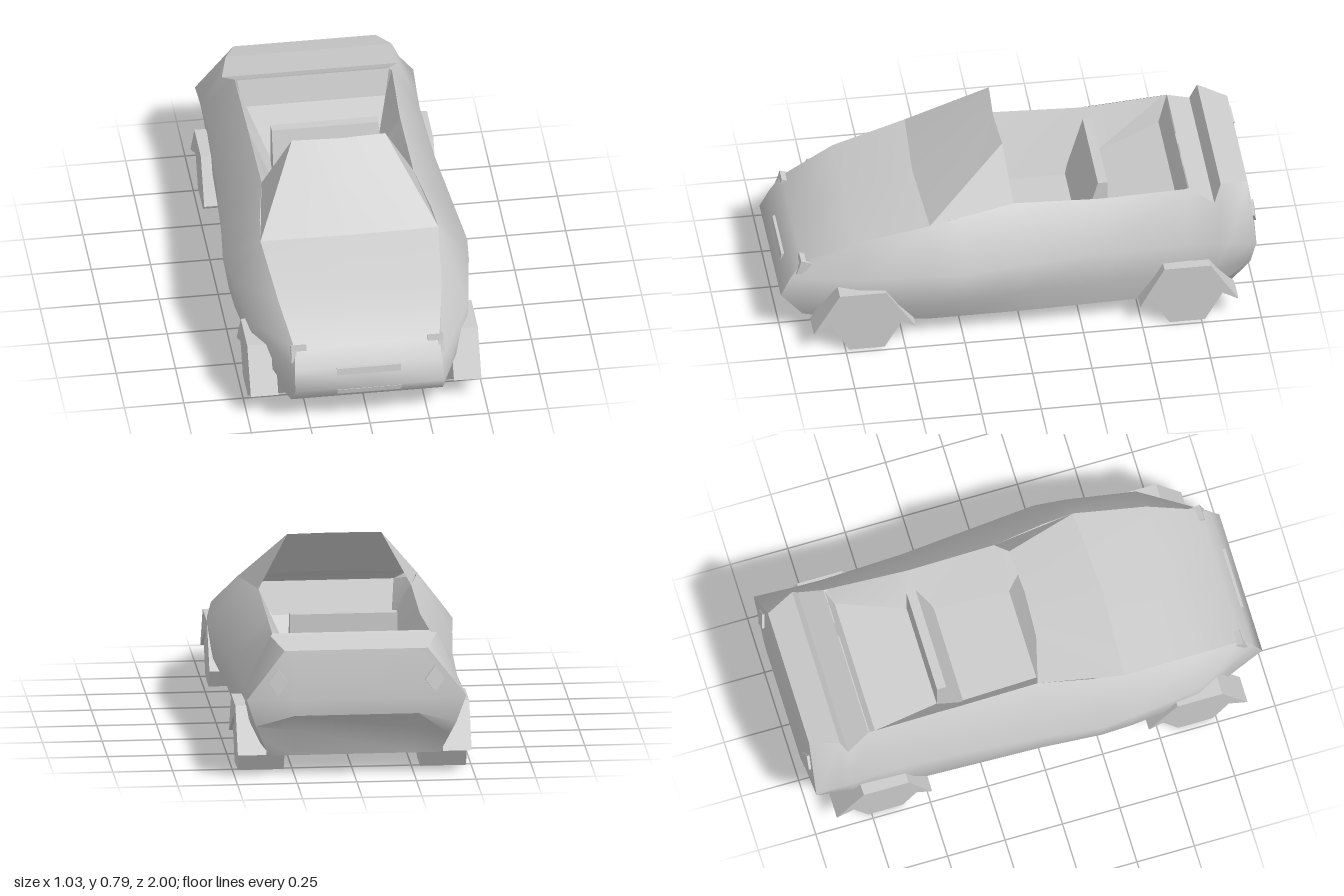
import * as THREE from 'three';
import { toCreasedNormals } from 'three/addons/utils/BufferGeometryUtils.js';

const material = new THREE.MeshStandardMaterial({ color: 0xcccccc, side: THREE.DoubleSide });

// full row across the car from a half row listed outer to inner
const across = half => [...half.map(([x, y, z]) => [-x, y, z]), ...[...half].reverse()];

// surface through successive rows of points
function sheet(name, halves, crease) {
  const rows = halves.map(across), pos = [];
  for (let i = 0; i < rows.length - 1; i++) {
    for (let j = 0; j < rows[i].length - 1; j++) {
      const a = rows[i][j], b = rows[i][j + 1], c = rows[i + 1][j + 1], d = rows[i + 1][j];
      pos.push(...a, ...d, ...c, ...a, ...c, ...b);
    }
  }
  const g = new THREE.BufferGeometry();
  g.setAttribute('position', new THREE.Float32BufferAttribute(pos, 3));
  return named(name, toCreasedNormals(g, crease));
}

function named(name, geometry) {
  const m = new THREE.Mesh(geometry, material);
  m.name = name;
  return m;
}

// side profile of (z, y) points, extruded across x and centred on x
function profile(name, points, width, x = 0) {
  const shape = new THREE.Shape(points.map(([z, y]) => new THREE.Vector2(z, y)));
  const g = new THREE.ExtrudeGeometry(shape, { depth: width, bevelEnabled: false });
  g.translate(0, 0, -width / 2).rotateY(-Math.PI / 2).translate(x, 0, 0);
  return named(name, g);
}

export function createModel() {
  const car = new THREE.Group();
  car.name = 'convertibleCar';

  // sides and floor pan: shoulder, waist, sill, bottom at each station
  car.add(sheet('bodySides', [
    [[0.305, 0.345, 0.91], [0.31, 0.27, 0.96], [0.315, 0.19, 1], [0.32, 0.09, 0.91]],
    [[0.345, 0.45, 0.69], [0.46, 0.34, 0.68], [0.45, 0.2, 0.68], [0.4, 0.09, 0.68]],
    [[0.375, 0.53, 0.38], [0.503, 0.36, 0.38], [0.485, 0.21, 0.38], [0.43, 0.09, 0.38]],
    [[0.36, 0.548, 0.25], [0.515, 0.36, 0.25], [0.49, 0.21, 0.25], [0.43, 0.09, 0.25]],
    [[0.32, 0.57, 0.02], [0.49, 0.37, 0], [0.475, 0.22, 0], [0.43, 0.09, 0]],
    [[0.32, 0.555, -0.35], [0.46, 0.37, -0.35], [0.455, 0.22, -0.35], [0.42, 0.09, -0.35]],
    [[0.33, 0.575, -0.72], [0.447, 0.37, -0.7], [0.44, 0.22, -0.7], [0.41, 0.09, -0.7]],
    [[0.37, 0.52, -0.82], [0.453, 0.36, -0.83], [0.435, 0.22, -0.81], [0.39, 0.09, -0.8]],
    [[0.35, 0.6, -0.85], [0.455, 0.36, -0.87], [0.43, 0.22, -0.84], [0.38, 0.09, -0.82]],
    [[0.3, 0.565, -0.97], [0.46, 0.36, -0.985], [0.42, 0.24, -0.965], [0.36, 0.09, -0.88]],
  ], 1.1));

  // bonnet running down over the nose
  car.add(sheet('bonnetAndNose', [
    [[0.375, 0.53, 0.38], [0, 0.54, 0.4]],
    [[0.345, 0.45, 0.69], [0, 0.455, 0.69]],
    [[0.305, 0.345, 0.91], [0, 0.345, 0.91]],
    [[0.31, 0.27, 0.96], [0, 0.27, 0.96]],
    [[0.315, 0.19, 1], [0, 0.19, 1]],
    [[0.32, 0.09, 0.91], [0, 0.09, 0.91]],
  ], 1.35));

  // bumper, undercut, tail panel, spoiler and rear deck
  car.add(sheet('tailAndDeck', [
    [[0.36, 0.09, -0.88], [0.25, 0.09, -0.88]],
    [[0.396, 0.18, -0.931], [0.26, 0.21, -0.925]],
    [[0.42, 0.24, -0.965], [0.26, 0.29, -0.995]],
    [[0.46, 0.36, -0.985], [0.27, 0.36, -1]],
    [[0.3, 0.565, -0.97], [0.25, 0.565, -0.97]],
    [[0.35, 0.6, -0.85], [0.25, 0.6, -0.85]],
    [[0.37, 0.52, -0.82], [0.25, 0.52, -0.82]],
    [[0.33, 0.575, -0.72], [0.25, 0.575, -0.72]],
  ], 0.5));

  // cockpit tub: lip and floor edge, back to front, ending in a dash under the bonnet
  car.add(sheet('cockpitTub', [
    [[0.33, 0.575, -0.72], [0.32, 0.573, -0.715]],
    [[0.33, 0.572, -0.7], [0.3, 0.46, -0.68]],
    [[0.32, 0.557, -0.4], [0.22, 0.38, -0.39]],
    [[0.32, 0.555, -0.35], [0.21, 0.3, -0.28]],
    [[0.32, 0.57, 0.02], [0.2, 0.3, 0.05]],
    [[0.36, 0.548, 0.25], [0.25, 0.42, 0.15]],
    [[0.35, 0.465, 0.62], [0.3, 0.44, 0.62]],
  ], 0.3));

  // windscreen with its triangular side panes
  car.add(sheet('windscreen', [
    [[0.32, 0.57, 0.02], [0.197, 0.795, 0.05], [0, 0.795, 0.06]],
    [[0.375, 0.53, 0.38], [0.375, 0.53, 0.38], [0, 0.54, 0.4]],
  ], 0.5));

  car.add(profile('seat', [[-0.27, 0.29], [-0.35, 0.565], [-0.39, 0.565], [-0.39, 0.29]], 0.45));

  // number plate and bumper bar, wedges standing out of the nose
  car.add(profile('frontPlate', [[0.95, 0.27], [0.972, 0.27], [0.976, 0.24], [0.95, 0.24]], 0.27));
  car.add(profile('bumperBar', [[0.96, 0.175], [0.989, 0.175], [0.985, 0.153], [0.94, 0.153]], 0.27));

  for (const s of [-1, 1]) {
    for (const [end, z, archFront, archBack, archWidth] of [
      ['front', 0.66, 0.885, 0.455, 0.116], ['rear', -0.69, -0.49, -0.905, 0.12],
    ]) {
      // six-sided wheel standing on a flat
      const tyre = new THREE.CylinderGeometry(0.15, 0.15, 0.192, 6).toNonIndexed().rotateZ(Math.PI / 2);
      tyre.computeVertexNormals();
      const wheel = named(end + 'Wheel', tyre);
      wheel.position.set(s * 0.382, 0.13, z);
      car.add(wheel);
      // chevron wheel arch
      const mid = (archFront + archBack) / 2;
      car.add(profile(end + 'WheelArch', [
        [archFront, 0.1], [mid + 0.105, 0.285], [mid - 0.09, 0.285], [archBack, 0.1], [mid, 0.22],
      ], archWidth, s * (0.37 + archWidth / 2)));
    }

    // headlamp: top lid with a small cheek below
    car.add(profile('headlamp', [[0.87, 0.345], [0.915, 0.362], [0.92, 0.34], [0.88, 0.33]], 0.065, s * 0.288));
    car.add(profile('headlampCheek', [[0.87, 0.345], [0.918, 0.345], [0.935, 0.295], [0.9, 0.3]], 0.022, s * 0.31));

    // tall diamond tail lamp on the corner panel
    const diamond = new THREE.CylinderGeometry(0.055, 0.055, 0.02, 4).toNonIndexed();
    diamond.rotateX(Math.PI / 2).scale(0.75, 1, 1).rotateX(0.12).rotateY(s * -0.1);
    diamond.computeVertexNormals();
    const lamp = named('tailLamp', diamond);
    lamp.position.set(s * 0.328, 0.435, -0.985);
    car.add(lamp);
  }
  return car;
}
